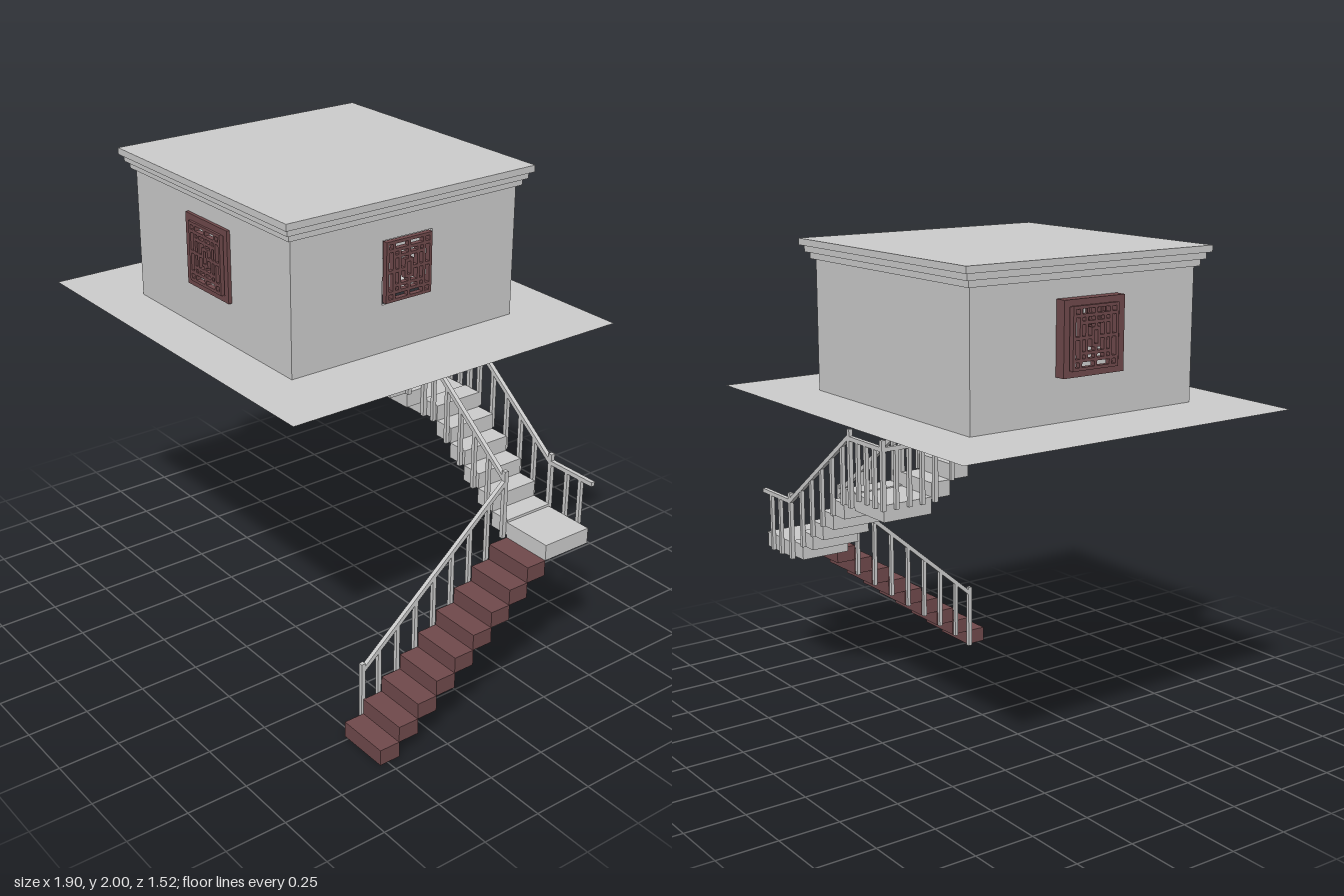
import * as THREE from 'three';

const grey = new THREE.MeshStandardMaterial({ color: 0xcccccc, side: THREE.DoubleSide });
const wood = new THREE.MeshStandardMaterial({ color: 0x6f494b, side: THREE.DoubleSide });

const STEP = 0.088, RISE = 0.0655;

// Box given by its lower and upper limits on each axis
function box(parent, name, x0, x1, y0, y1, z0, z1, mat = grey) {
  const m = new THREE.Mesh(new THREE.BoxGeometry(x1 - x0, y1 - y0, z1 - z0), mat);
  m.position.set((x0 + x1) / 2, (y0 + y1) / 2, (z0 + z1) / 2);
  m.name = name;
  parent.add(m);
  return m;
}

// Square bar between two points
function bar(parent, name, a, b, t = 0.018) {
  const p = new THREE.Vector3(...a), q = new THREE.Vector3(...b);
  const m = new THREE.Mesh(new THREE.BoxGeometry(t, t, p.distanceTo(q)), grey);
  m.position.copy(p).add(q).multiplyScalar(0.5);
  m.lookAt(q);
  m.name = name;
  parent.add(m);
}

function post(parent, name, x, z, y0, y1, t = 0.018) {
  box(parent, name, x - t / 2, x + t / 2, y0, y1, z - t / 2, z + t / 2);
}

function rectPath(Type, x0, x1, y0, y1) {
  const p = new Type();
  p.moveTo(x0, y0);
  p.lineTo(x1, y0);
  p.lineTo(x1, y1);
  p.lineTo(x0, y1);
  p.closePath();
  return p;
}

// Upright panel with a rectangular opening
function panel(w0, w1, h0, h1, hole, depth) {
  const s = rectPath(THREE.Shape, w0, w1, h0, h1);
  if (hole) s.holes.push(rectPath(THREE.Path, ...hole));
  return new THREE.ExtrudeGeometry(s, { depth, bevelEnabled: false });
}

// Lattice window facing +z, centred on its own origin
function makeWindow(name, framed, frameDepth) {
  const g = new THREE.Group();
  g.name = name;
  const ring = (part, hw, hh, t, z, d) => {
    const m = new THREE.Mesh(panel(-hw, hw, -hh, hh, [-hw + t, hw - t, -hh + t, hh - t], d), wood);
    m.position.z = z;
    m.name = part;
    g.add(m);
  };
  if (framed) ring('windowFrame', 0.142, 0.143, 0.026, 0, frameDepth);
  const z = framed ? frameDepth - 0.012 : -0.01, d = 0.022, t = 0.012;
  ring('latticeBorder', 0.107, 0.119, t, z, d);
  ring('latticeMiddle', 0.076, 0.062, t, z, d);
  ring('latticeTall', 0.05, 0.088, t, z, d);
  ring('latticeCentre', 0.02, 0.037, t, z, d);
  const strip = (x0, x1, y0, y1) => box(g, 'latticeBar', x0, x1, y0, y1, z, z + d, wood);
  for (const s of [-1, 1]) {
    const span = (a, b) => (s > 0 ? [a, b] : [-b, -a]);
    strip(...span(0.015, 0.102), -t / 2, t / 2);
    strip(-t / 2, t / 2, ...span(0.03, 0.115));
    for (const u of [-1, 1]) {
      strip(u * 0.07 - t / 2, u * 0.07 + t / 2, ...span(0.055, 0.115));
      strip(...span(0.045, 0.102), u * 0.082 - t / 2, u * 0.082 + t / 2);
    }
  }
  return g;
}

function makeHouse() {
  const g = new THREE.Group();
  g.name = 'house';
  const X0 = -0.625, X1 = 0.425, Z0 = -0.505, Z1 = 0.545, Y0 = 1.39, Y1 = 1.92, T = 0.012;
  const cx = -0.1, cz = 0.02, wy = 1.705;

  // Ground sheet with the stairwell opening
  const s = rectPath(THREE.Shape, -0.955, 0.74, -0.76, 0.765);
  s.holes.push(rectPath(THREE.Path, -0.035, 0.41, -0.27, 0.495));
  const ground = new THREE.Mesh(new THREE.ShapeGeometry(s), grey);
  ground.rotation.x = -Math.PI / 2;
  ground.position.y = Y0;
  ground.name = 'floorSheet';
  g.add(ground);

  // Walls: three pierced by windows, plain back wall
  const opening = [-0.117, 0.117, wy - 0.125, wy + 0.125];
  const sides = [
    ['front', 0, cx, Z1, true, 0.014],
    ['right', Math.PI / 2, X1, cz, false, 0],
    ['left', -Math.PI / 2, X0, cz, true, 0.046],
    ['back', Math.PI, cx, Z0, null, 0],
  ];
  for (const [name, turn, x, z, framed, depth] of sides) {
    const side = new THREE.Group();
    side.name = name + 'Side';
    const wall = new THREE.Mesh(panel(-0.525, 0.525, Y0, Y1, framed === null ? null : opening, T), grey);
    wall.position.z = -T;
    wall.name = name + 'Wall';
    side.add(wall);
    if (framed !== null) {
      const w = makeWindow(name + 'Window', framed, depth);
      w.position.y = wy;
      side.add(w);
    }
    side.rotation.y = turn;
    side.position.set(x, 0, z);
    g.add(side);
  }

  // Stepped roof slab
  [0.542, 0.558, 0.574].forEach((h, i) => {
    const y = Y1 + i * 0.0267;
    box(g, 'roofLayer', cx - h, cx + h, y, y + 0.0267, cz - h, cz + h);
  });
  return g;
}

function makeStairs() {
  const g = new THREE.Group();
  g.name = 'stairs';
  const zF = -0.26, zB = -0.483;

  // Treads and landings
  for (let i = 0; i < 9; i++) {
    const z = 0.534 - i * STEP;
    box(g, 'lowerStep', 0.73, 0.95, i * 0.0667, (i + 1) * 0.0667, z - 0.09, z, wood);
  }
  box(g, 'lowerLanding', 0.73, 0.95, 0.6, 0.667, zB, zF);
  for (let i = 0; i < 6; i++) {
    const x = 0.73 - i * STEP, y = 0.612 + i * RISE;
    box(g, 'middleStep', x - 0.09, x, y, y + RISE, zB, zF);
  }
  box(g, 'upperLanding', -0.015, 0.205, 0.93, 1.0, zB, zF);
  for (let i = 0; i < 6; i++) {
    const z = zF + i * STEP, y = 0.992 + i * RISE;
    box(g, 'upperStep', -0.015, 0.205, y, y + RISE, z, z + 0.09);
  }

  // Lower flight rail
  const xr = 0.718;
  post(g, 'lowerNewel', xr, 0.443, 0, 0.29);
  bar(g, 'lowerHandrail', [xr, 0.26, 0.443], [xr, 0.85, -0.25]);
  for (let i = 1; i < 8; i++) {
    const z = 0.453 - i * STEP;
    post(g, 'lowerBaluster', xr, z, i * 0.0667, 0.26 + (0.443 - z) * 0.851, 0.016);
  }

  // Middle flight rails on both sides
  for (const z of [-0.248, -0.492]) {
    post(g, 'landingNewel', xr, z, 0.6, 0.895);
    post(g, 'upperNewel', 0.218, z, 0.94, 1.265);
    bar(g, 'middleHandrail', [xr, 0.858, z], [0.218, 1.235, z]);
    for (let i = 1; i < 6; i++) {
      const x = 0.706 - i * 0.0855;
      post(g, 'middleBaluster', x, z, 0.612 + i * RISE, 0.858 + (xr - x) * 0.754, 0.016);
    }
  }

  // Lower landing rail
  bar(g, 'landingRail', [xr, 0.858, -0.492], [0.95, 0.858, -0.492]);
  for (const x of [0.81, 0.885]) post(g, 'landingBaluster', x, -0.492, 0.6, 0.855, 0.016);

  // Upper landing rails around the back and outer side
  const xl = -0.025;
  post(g, 'cornerNewel', xl, -0.492, 0.98, 1.265);
  post(g, 'cornerNewel', xl, -0.248, 0.98, 1.265);
  bar(g, 'landingRail', [xl, 1.228, -0.492], [0.218, 1.228, -0.492]);
  bar(g, 'landingRail', [xl, 1.228, -0.492], [xl, 1.228, -0.248]);
  for (let i = 1; i < 4; i++) {
    post(g, 'landingBaluster', xl + i * 0.061, -0.492, 0.98, 1.225, 0.016);
    post(g, 'landingBaluster', xl, -0.492 + i * 0.061, 0.98, 1.225, 0.016);
  }

  // Upper flight rails, rising through the floor
  for (const x of [xl, 0.216]) {
    bar(g, 'upperHandrail', [x, 1.23, -0.248], [x, 1.586, 0.23]);
    for (let i = 1; i < 6; i++) {
      const z = -0.255 + i * 0.0865;
      post(g, 'upperBaluster', x, z, 0.992 + i * RISE, 1.23 + (z + 0.248) * 0.744, 0.016);
    }
    post(g, 'topNewel', x, 0.23, 1.32, 1.615);
  }
  return g;
}

export function createModel() {
  const model = new THREE.Group();
  model.name = 'raisedHouseWithStairs';
  model.add(makeHouse(), makeStairs());
  return model;
}
